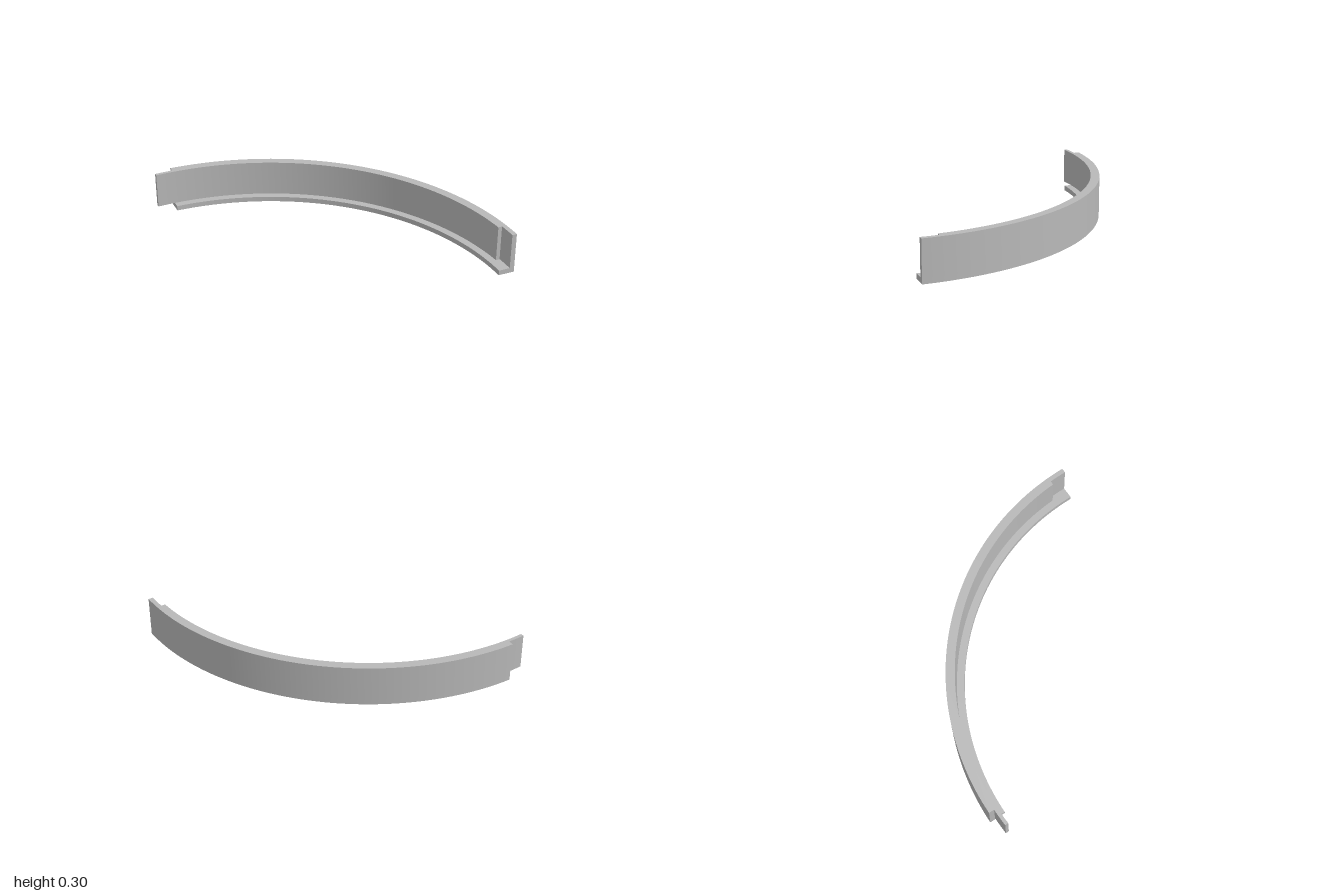
import * as THREE from 'three';
import { toCreasedNormals } from 'three/addons/utils/BufferGeometryUtils.js';

// centre of the quarter ring in plan
const CX = -0.87, CZ = 0.935;
const OUTER = 1.87, SHELF_IN = 1.75, WALL_IN = 1.805;
const TONGUE_OUT = 1.83, NOTCH_OUT = 1.835;
const SHELF_H = 0.037, HEIGHT = 0.3;
const QUARTER = Math.PI / 2, JOINT = 0.0715; // angle covered by each joint

// plan outline made of arcs [radius, startAngle, endAngle], joined by straight lines
function arcPlate(arcs, y, height) {
  const shape = new THREE.Shape();
  for (const [r, a, b] of arcs) shape.absarc(0, 0, r, a, b, b < a);
  const geometry = new THREE.ExtrudeGeometry(shape, { depth: height, bevelEnabled: false, curveSegments: 48 });
  geometry.rotateX(-Math.PI / 2);
  geometry.translate(CX, y, CZ);
  return toCreasedNormals(geometry, 0.5);
}

export function createModel() {
  const group = new THREE.Group();
  group.name = 'curvedEdging';
  const grey = new THREE.MeshStandardMaterial({ color: 0xb8b8b8 });
  grey.name = 'grey';

  const add = (name, geometry) => {
    const mesh = new THREE.Mesh(geometry, grey);
    mesh.name = name;
    group.add(mesh);
  };

  // flat ledge reaching inward under the wall
  add('bottomShelf', arcPlate([
    [OUTER, 0, QUARTER],
    [SHELF_IN, QUARTER, 0],
  ], 0, SHELF_H));

  // upright wall with a tongue at one end and a matching recess at the other
  add('wallWithTongueAndRecess', arcPlate([
    [OUTER, 0, QUARTER],
    [TONGUE_OUT, QUARTER, QUARTER + JOINT],
    [WALL_IN, QUARTER + JOINT, JOINT],
    [NOTCH_OUT, JOINT, 0],
  ], SHELF_H, HEIGHT - SHELF_H));

  return group;
}
